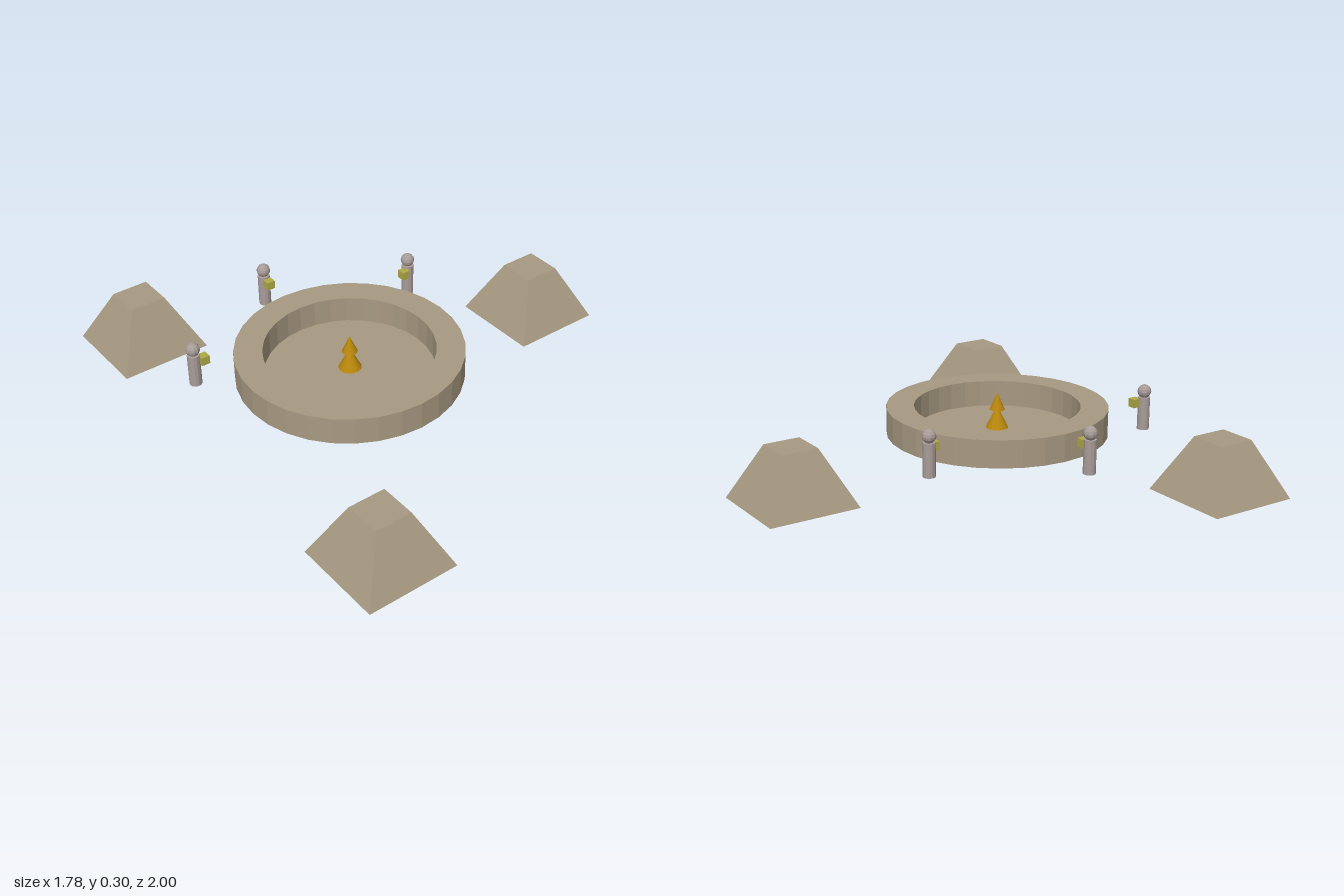
import * as THREE from 'three';

const U = 0.0375; // base module of the layout
const CX = -0.237; // centre of the fountain
const mat = (color) => new THREE.MeshStandardMaterial({ color, flatShading: true });
const stone = mat(0xa89a82);
const gold = mat(0xb8860b);
const pale = mat(0xa89c98);
const olive = mat(0xb0aa48);

function add(parent, name, geometry, material, x = 0, y = 0, z = 0) {
  const mesh = new THREE.Mesh(geometry, material);
  mesh.name = name;
  mesh.position.set(x, y, z);
  parent.add(mesh);
  return mesh;
}

// Four-sided block with a smaller flat top
function truncatedPyramid(base, top, height) {
  return new THREE.CylinderGeometry(top * Math.SQRT1_2, base * Math.SQRT1_2, height, 4)
    .rotateY(Math.PI / 4);
}

function createFountain() {
  const fountain = new THREE.Group();
  fountain.name = 'fountain';

  add(fountain, 'pedestal', new THREE.CylinderGeometry(6 * U, 6 * U, 2 * U, 32), stone, 0, 2 * U, 0);

  // Open bowl with a thick rim and a thin floor
  const profile = [
    [0, 3 * U], [12 * U, 3 * U], [12 * U, 6 * U],
    [9 * U, 6 * U], [9 * U, 3 * U + 0.004], [0, 3 * U + 0.004],
  ].map(([r, y]) => new THREE.Vector2(r, y));
  add(fountain, 'basin', new THREE.LatheGeometry(profile, 32), stone);

  // Stacked cones of the spire: base height, radius, height
  [[0.0365, 0.05, 0.1], [0.13, 0.046, 0.09], [0.205, 0.031, 0.071]].forEach(([y, r, h], i) => {
    add(fountain, `spireCone${i + 1}`, new THREE.ConeGeometry(r, h, 16), gold, 0, y + h / 2, 0);
  });
  return fountain;
}

// Small post figure holding a block towards the fountain
function createFigure(angle) {
  const figure = new THREE.Group();
  figure.name = 'figure';
  const dx = Math.cos(angle), dz = -Math.sin(angle);
  figure.position.set(dx * 0.6, 0, dz * 0.6);
  add(figure, 'body', new THREE.CylinderGeometry(0.025, 0.025, 0.135, 12), pale, 0, 0.18, 0);
  add(figure, 'head', new THREE.SphereGeometry(0.028, 10, 8), pale, 0, 0.272, 0);
  add(figure, 'heldBlock', new THREE.BoxGeometry(0.035, 0.035, 0.035), olive, -dx * 0.038, 0.224, -dz * 0.038);
  return figure;
}

export function createModel() {
  const model = new THREE.Group();
  model.name = 'fountainPlaza';
  const site = new THREE.Group();
  site.name = 'site';
  site.position.x = CX;
  model.add(site);

  site.add(createFountain());

  // Three figures behind the basin
  [30, 90, 150].forEach((deg) => site.add(createFigure(THREE.MathUtils.degToRad(deg))));

  // Three pyramids evenly spaced around the basin
  for (let i = 0; i < 3; i++) {
    const a = (i * Math.PI * 2) / 3;
    add(site, 'pyramid', truncatedPyramid(10 * U, 4 * U, 6 * U), stone,
      Math.cos(a) * 25 * U, 3 * U, Math.sin(a) * 25 * U);
  }
  return model;
}
